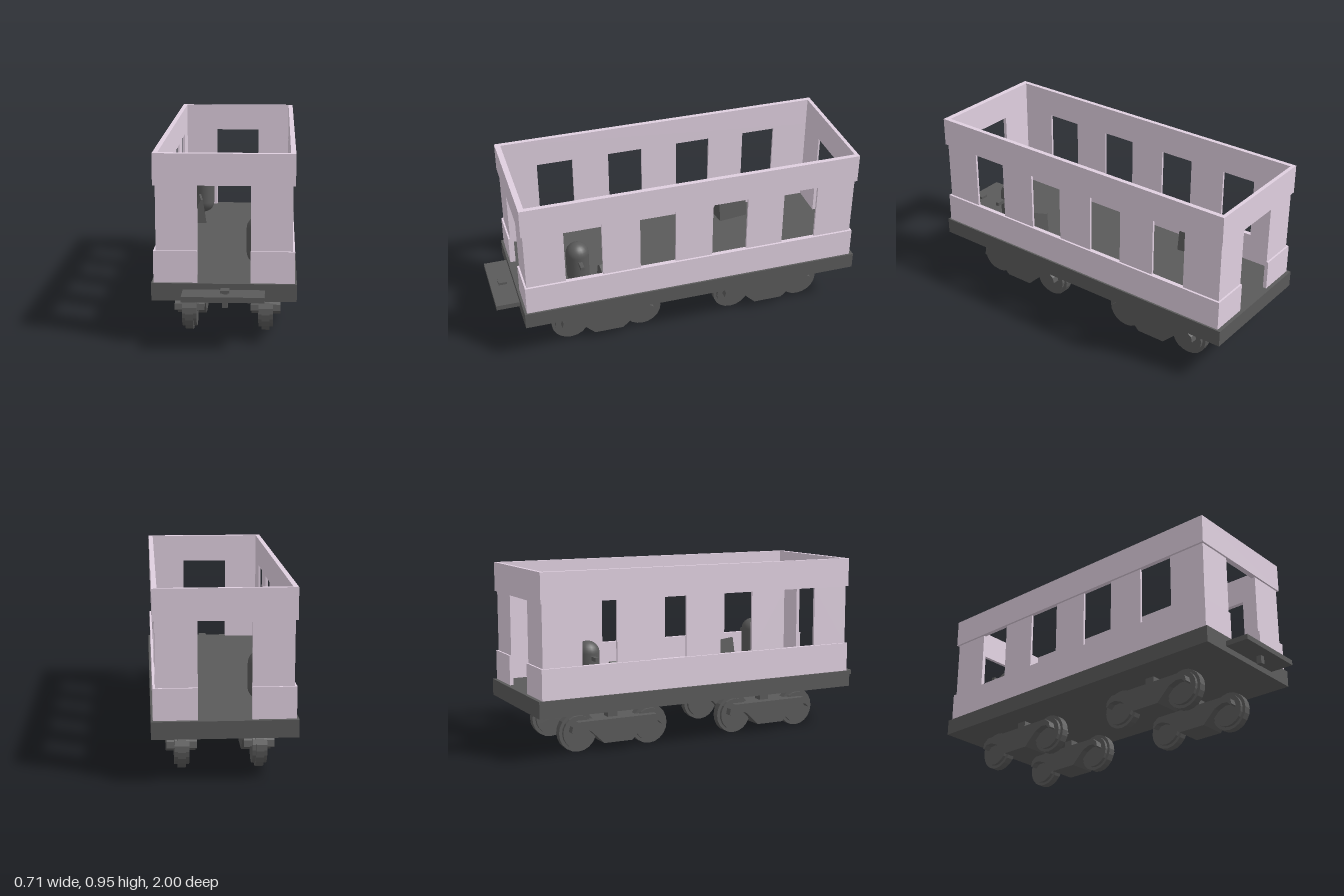
import * as THREE from 'three';

const wallMat = new THREE.MeshStandardMaterial({ color: 0xe0d0e0, flatShading: true });
const darkMat = new THREE.MeshStandardMaterial({ color: 0x5a5a5a, flatShading: true });
const smoothMat = new THREE.MeshStandardMaterial({ color: 0x5a5a5a });

function add(parent, name, geo, mat, x = 0, y = 0, z = 0) {
  const m = new THREE.Mesh(geo, mat);
  m.name = name;
  m.position.set(x, y, z);
  parent.add(m);
  return m;
}

// Box given by its min and max corners
function span(parent, name, mat, [x0, y0, z0], [x1, y1, z1]) {
  return add(parent, name, new THREE.BoxGeometry(x1 - x0, y1 - y0, z1 - z0), mat,
    (x0 + x1) / 2, (y0 + y1) / 2, (z0 + z1) / 2);
}

// Upright extrusion of a floor-plan outline given as [x, z] points
function plan(parent, name, pts, y0, y1, hole) {
  const flip = ps => ps.map(([x, z]) => new THREE.Vector2(x, -z));
  const s = new THREE.Shape(flip(pts));
  if (hole) s.holes.push(new THREE.Path(flip(hole)));
  const g = new THREE.ExtrudeGeometry(s, { depth: y1 - y0, bevelEnabled: false });
  g.rotateX(-Math.PI / 2);
  return add(parent, name, g, wallMat, 0, y0, 0);
}

// Counter-clockwise seen from above, so hole walls face inwards
const rect = (x, z0, z1) => [[-x, z1], [x, z1], [x, z0], [-x, z0]];

function buildWalls() {
  const walls = new THREE.Group();
  walls.name = 'walls';
  const inX = 0.32, zf = 0.83, zb = -0.96, door = 0.13;
  plan(walls, 'upperBand', rect(0.345, -0.98, 0.86), 0.798, 0.954, rect(inX, zb, zf));
  for (const s of [-1, 1]) {
    // Lower band on each side, wrapping round to the door openings
    plan(walls, 'lowerBand', [
      [door, 0.86], [0.345, 0.86], [0.345, -0.98], [door, -0.98],
      [door, zb], [inX, zb], [inX, zf], [door, zf],
    ].map(([x, z]) => [x * s, z]), 0.315, 0.474);
    // L-shaped corner posts
    for (const [out, inn, end] of [[0.85, zf, 0.64], [-0.97, zb, -0.757]]) {
      plan(walls, 'cornerPost', [
        [door, out], [0.333, out], [0.333, end], [inX, end], [inX, inn], [door, inn],
      ].map(([x, z]) => [x * s, z]), 0.474, 0.798);
    }
    // Posts between the windows
    for (const z of [0.337, -0.063, -0.463]) {
      add(walls, 'windowPost', new THREE.BoxGeometry(0.013, 0.324, 0.205), wallMat, s * 0.3265, 0.636, z);
    }
  }
  return walls;
}

function buildBogie() {
  const bogie = new THREE.Group();
  bogie.name = 'bogie';
  // Side frame whose arms hook over both axles
  const half = [[0.08, 0.043], [0.155, 0.115], [0.2, 0.133], [0.235, 0.13], [0.255, 0.11],
    [0.262, 0.115], [0.255, 0.145], [0.225, 0.168]];
  const pts = [...half, ...half.map(([z, y]) => [-z, y]).reverse()].map(p => new THREE.Vector2(...p));
  const frame = new THREE.ExtrudeGeometry(new THREE.Shape(pts), { depth: 0.152, bevelEnabled: false });
  frame.translate(0, 0, -0.076).rotateY(-Math.PI / 2);
  add(bogie, 'bogieFrame', frame, darkMat);
  add(bogie, 'bogiePost', new THREE.BoxGeometry(0.05, 0.09, 0.055), darkMat, 0, 0.195, -0.01);
  for (const z of [-0.205, 0.205]) {
    for (const [name, r, w] of [['wheelFlange', 0.105, 0.04], ['wheelTread', 0.088, 0.074]]) {
      const g = new THREE.CylinderGeometry(r, r, w, 20).rotateZ(Math.PI / 2);
      add(bogie, name, g, darkMat, 0, 0.105, z);
    }
  }
  return bogie;
}

// Rounded figure with a small nub facing the wall
function buildFigure(x, z, side) {
  const figure = new THREE.Group();
  figure.name = 'figure';
  add(figure, 'figureBody', new THREE.CapsuleGeometry(0.062, 0.125, 8, 20), smoothMat, 0, 0.453, 0);
  add(figure, 'figureNub', new THREE.BoxGeometry(0.05, 0.02, 0.02), darkMat, side * 0.1, 0.495, 0);
  figure.position.set(x, 0, z);
  return figure;
}

// Sloping stand: long slope to the wall, steep back to the aisle
function buildStand(x, z, side, turn) {
  const profile = [[-0.056, 0.32], [0.056, 0.32], [0.035, 0.46], [0.023, 0.46]]
    .map(([px, py]) => new THREE.Vector2(-side * px, py));
  const g = new THREE.ExtrudeGeometry(new THREE.Shape(profile), { depth: 0.172, bevelEnabled: false });
  g.translate(0, 0, -0.086);
  const stand = new THREE.Group();
  stand.name = 'slopingStand';
  add(stand, 'standBody', g, darkMat);
  stand.position.set(x, 0, z);
  stand.rotation.y = turn;
  return stand;
}

export function createModel() {
  const car = new THREE.Group();
  car.name = 'railCar';

  span(car, 'floorDeck', darkMat, [-0.355, 0.227, -1], [0.355, 0.315, 0.873]);
  car.add(buildWalls());

  // Coupling at the front
  span(car, 'couplerPlate', darkMat, [-0.2, 0.258, 0.86], [0.2, 0.285, 1]);
  span(car, 'couplerPin', darkMat, [-0.006, 0.215, 0.92], [0.022, 0.295, 0.947]);
  span(car, 'couplerCap', darkMat, [-0.014, 0.291, 0.91], [0.03, 0.305, 0.956]);

  for (const x of [-0.185, 0.202]) {
    for (const z of [0.403, -0.53]) {
      const bogie = buildBogie();
      bogie.position.set(x, 0, z);
      car.add(bogie);
    }
  }

  car.add(buildFigure(-0.197, -0.672, -1), buildFigure(0.163, 0.539, 1));
  car.add(buildStand(-0.232, -0.468, -1, 0.13), buildStand(0.217, 0.35, 1, 0.47));
  return car;
}
